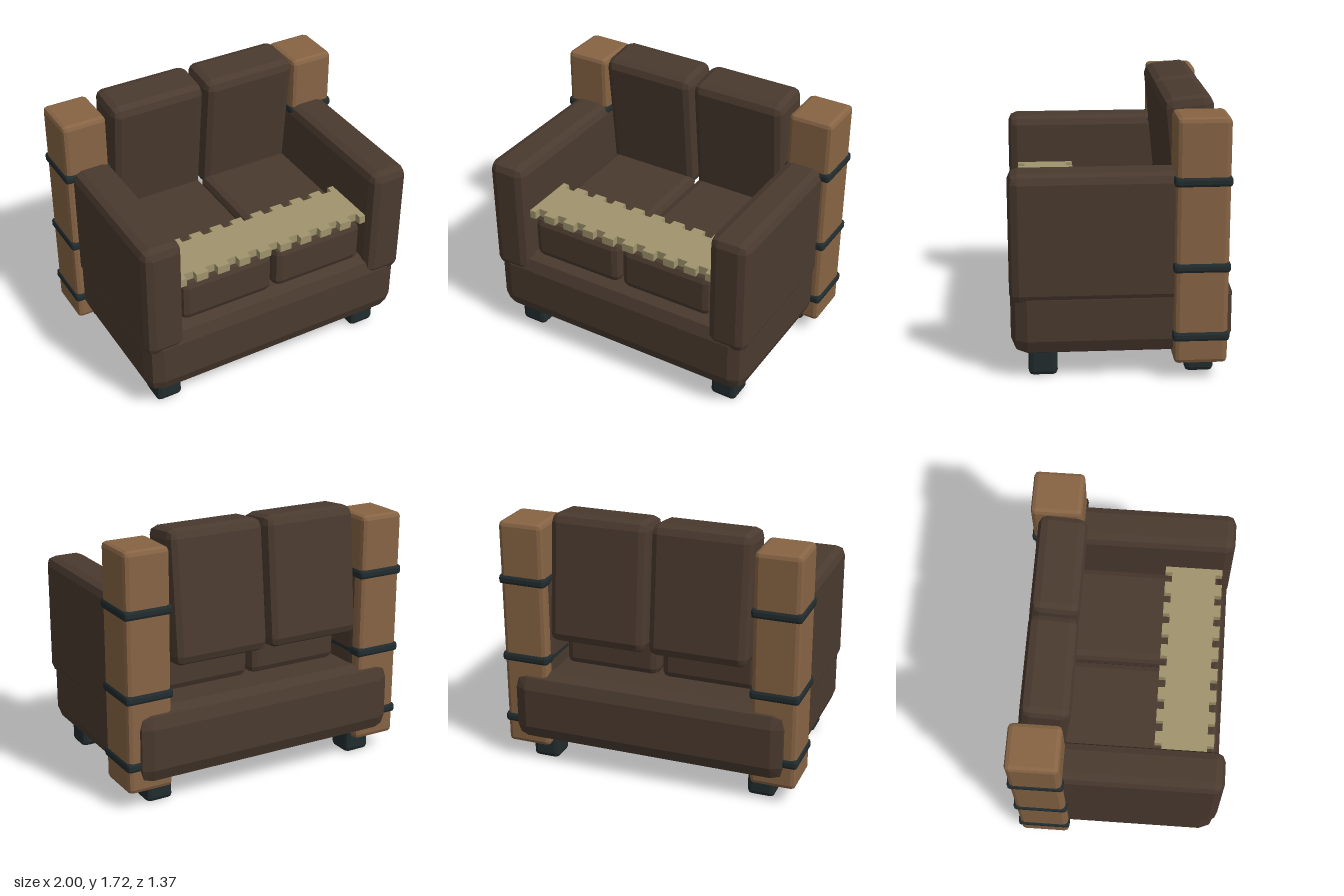
import * as THREE from 'three';
import { ConvexGeometry } from 'three/addons/geometries/ConvexGeometry.js';

const mat = (color) => new THREE.MeshStandardMaterial({ color, flatShading: true });

// Directions of one octant, giving a two-step bevel at each corner
const D = Math.SQRT1_2, T = 1 / Math.sqrt(3);
const OCTANT = [[1, 0, 0], [0, 1, 0], [0, 0, 1], [D, D, 0], [D, 0, D], [0, D, D], [T, T, T]];

// Box of size w, h, d whose bevel may differ along each axis
function bevelBox(w, h, d, [bx, by, bz]) {
  const points = [];
  for (const sx of [-1, 1]) for (const sy of [-1, 1]) for (const sz of [-1, 1]) {
    for (const [x, y, z] of OCTANT) {
      points.push(new THREE.Vector3(
        sx * (w / 2 - bx + bx * x),
        sy * (h / 2 - by + by * y),
        sz * (d / 2 - bz + bz * z)));
    }
  }
  return new ConvexGeometry(points);
}

export function createModel() {
  const group = new THREE.Group();
  const leather = mat(0x4a3a2f), wood = mat(0x876444);
  const dark = mat(0x222c2e), straw = mat(0xa0946c);

  // Adds a bevelled box given by its [min, max] range on each axis
  function block(name, material, [x0, x1], [y0, y1], [z0, z1], bevel) {
    const b = Array.isArray(bevel) ? bevel : [bevel, bevel, bevel];
    const mesh = new THREE.Mesh(bevelBox(x1 - x0, y1 - y0, z1 - z0, b), material);
    mesh.name = name;
    mesh.position.set((x0 + x1) / 2, (y0 + y1) / 2, (z0 + z1) / 2);
    group.add(mesh);
    return mesh;
  }

  block('base', leather, [-0.935, 0.935], [0.155, 0.64], [-0.68, 0.68], [0.1, 0.11, 0.1]);

  for (const [side, s] of [['left', 1], ['right', -1]]) {
    const span = (a, b) => (s > 0 ? [a, b] : [-b, -a]);

    block(side + 'Arm', leather, span(0.68, 0.945), [0.5, 1.31], [-0.6, 0.685], 0.06);

    // Cushions; the back one leans slightly forward at the top
    block(side + 'SeatCushion', leather, span(0.01, 0.66), [0.63, 0.93], [-0.4, 0.61], 0.05);
    const back = block(side + 'BackCushion', leather,
      span(0.01, 0.66), [0.87, 1.71], [-0.612, -0.302], [0.05, 0.06, 0.06]);
    back.rotation.x = 0.1;

    // Wooden post with three straps
    block(side + 'Post', wood, span(0.69, 0.99), [0.115, 1.65], [-0.637, -0.31], 0.03);
    for (const y of [0.295, 0.733, 1.265]) {
      block(side + 'PostStrap', dark, span(0.68, 1), [y - 0.032, y + 0.032], [-0.647, -0.3], 0.02);
    }

    for (const [end, z] of [['Front', 0.485], ['Back', -0.485]]) {
      block(side + end + 'Foot', dark, span(0.66, 0.84), [0, 0.22], [z - 0.09, z + 0.09], 0.03);
    }
  }

  // Mat on the front of the seat, notched along both long edges
  const half = 0.677, z0 = 0.24, z1 = 0.622, depth = 0.045, notch = 0.034;
  const outline = [];
  const edge = (z, inward, dir) => {
    outline.push([-dir * half, z]);
    for (let k = -4; k <= 4; k++) {
      const x = dir * k * 0.15, a = x - dir * notch, b = x + dir * notch;
      outline.push([a, z], [a, z + inward], [b, z + inward], [b, z]);
    }
    outline.push([dir * half, z]);
  };
  edge(z0, depth, 1);
  edge(z1, -depth, -1);
  const shape = new THREE.Shape(outline.map(([x, z]) => new THREE.Vector2(x, z)));
  const matGeo = new THREE.ExtrudeGeometry(shape, { depth: 0.055, bevelEnabled: false });
  matGeo.rotateX(Math.PI / 2);
  const seatMat = new THREE.Mesh(matGeo, straw);
  seatMat.name = 'seatMat';
  seatMat.position.y = 0.985;
  group.add(seatMat);

  return group;
}
